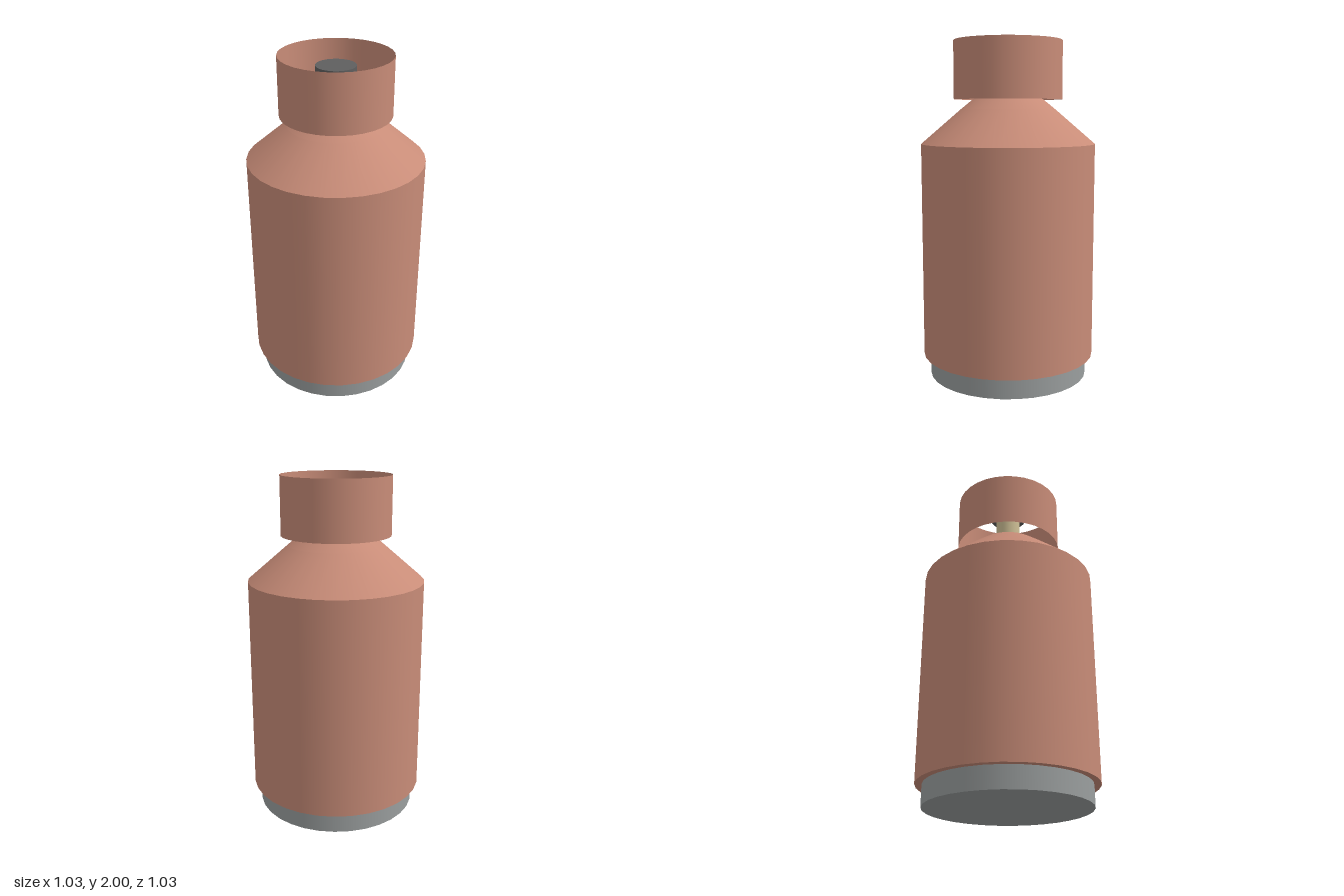
import * as THREE from 'three';

const SEGMENTS = 32;

export function createModel() {
  const model = new THREE.Group();
  const copper = new THREE.MeshStandardMaterial({ color: 0xc88c78 });
  const copperSheet = new THREE.MeshStandardMaterial({ color: 0xc88c78, side: THREE.DoubleSide });
  const steel = new THREE.MeshStandardMaterial({ color: 0x9a9e9e });
  const brass = new THREE.MeshStandardMaterial({ color: 0xcfc096 });
  const darkMetal = new THREE.MeshStandardMaterial({ color: 0x5f5f5f });

  // Upright cylinder or cone frustum spanning bottom to top
  function ring(name, material, rBottom, rTop, bottom, top, open = false) {
    const geometry = new THREE.CylinderGeometry(rTop, rBottom, top - bottom, SEGMENTS, 1, open);
    const mesh = new THREE.Mesh(geometry, material);
    mesh.name = name;
    mesh.position.y = (bottom + top) / 2;
    model.add(mesh);
  }

  // Foot and tank
  ring('footRing', steel, 0.475, 0.475, 0, 0.125);
  ring('tankBody', copper, 0.515, 0.515, 0.125, 1.4);

  // Sloping shoulder, slightly flatter near its capped top
  ring('shoulder', copper, 0.515, 0.28, 1.4, 1.602, true);
  ring('shoulderTop', copper, 0.28, 0.205, 1.602, 1.663);

  // Valve stem and its knob
  ring('valveStem', brass, 0.076, 0.076, 1.663, 1.895);
  ring('valveKnob', darkMetal, 0.113, 0.113, 1.895, 1.94);

  // Open guard collar around the valve
  ring('guardCollar', copperSheet, 0.32, 0.32, 1.66, 2, true);

  return model;
}
